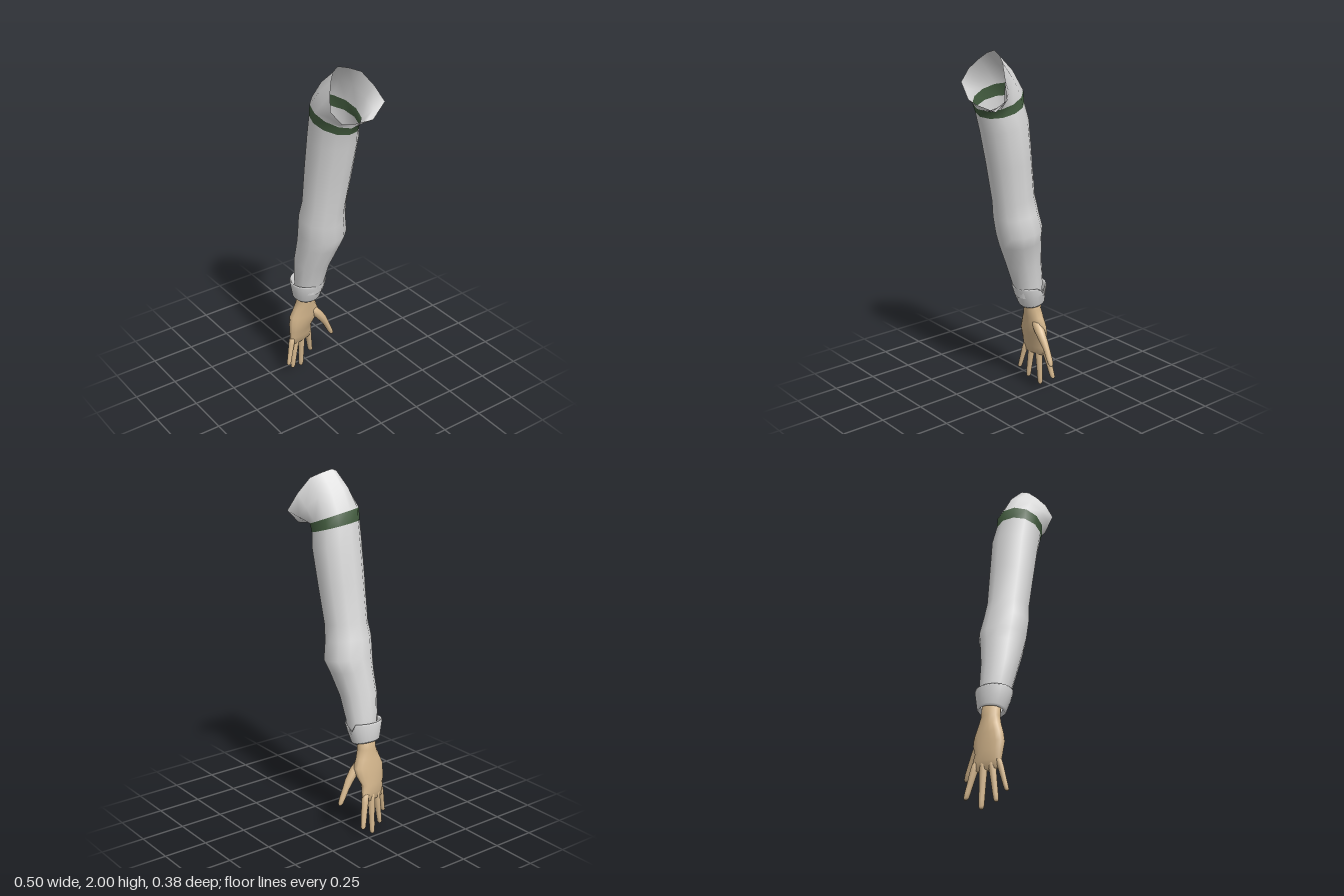
import * as THREE from 'three';

const flat = (name, color, side = THREE.FrontSide) => {
  const m = new THREE.MeshStandardMaterial({ color, side });
  m.name = name;
  return m;
};

// Elliptical cross-section; tiltX / tiltZ raise or lower it across its width, skew turns it in plan
function ring([x, y, z, rx, rz, tiltX = 0, tiltZ = 0, skew = 0], n) {
  return Array.from({ length: n }, (_, i) => {
    const a = (i / n) * Math.PI * 2, c = Math.cos(a), s = Math.sin(a);
    return new THREE.Vector3(x + rx * c + skew * rz * s, y + tiltX * c + tiltZ * s, z + rz * s);
  });
}

// Skin joining closed cross-sections from bottom to top; slots gives a material index per band
function loft(rings, { capStart = false, capEnd = false, slots = null } = {}) {
  const n = rings[0].length, pts = rings.flat(), index = [];
  const geo = new THREE.BufferGeometry();
  for (let j = 0; j < rings.length - 1; j++) {
    if (slots) geo.addGroup(index.length, n * 6, slots[j]);
    for (let i = 0; i < n; i++) {
      const k = (i + 1) % n, a = j * n + i, c = j * n + k;
      index.push(a, a + n, c, a + n, c + n, c);
    }
  }
  const cap = (j, flip) => {
    const mid = new THREE.Vector3();
    rings[j].forEach(p => mid.addScaledVector(p, 1 / n));
    const m = pts.push(mid) - 1;
    for (let i = 0; i < n; i++) {
      const a = j * n + i, b = j * n + (i + 1) % n;
      index.push(m, flip ? b : a, flip ? a : b);
    }
  };
  if (capStart) cap(0, false);
  if (capEnd) cap(rings.length - 1, true);
  geo.setFromPoints(pts);
  geo.setIndex(index);
  geo.computeVertexNormals();
  return geo;
}

export function createModel() {
  const group = new THREE.Group();
  group.name = 'arm';
  const cloth = flat('white cloth', 0xdcdcdc, THREE.DoubleSide);
  const green = flat('green band', 0x435c3f, THREE.DoubleSide);
  const skin = flat('skin', 0xd6b88e);
  const add = (name, geo, mat) => {
    const mesh = new THREE.Mesh(geo, mat);
    mesh.name = name;
    group.add(mesh);
  };

  // Sleeve: forearm, elbow, upper arm, green band and slanted shoulder cap
  const N = 12;
  const sleeve = [
    [-0.122, 0.60, 0.055, 0.075, 0.082, -0.015],
    [-0.117, 0.66, 0.053, 0.083, 0.088, -0.016],
    [-0.085, 0.80, 0.053, 0.098, 0.104, -0.02],
    [-0.047, 0.93, 0.036, 0.118, 0.120, -0.02],
    [-0.030, 1.00, 0.025, 0.125, 0.137, -0.02],
    [-0.014, 1.10, 0.037, 0.122, 0.129, -0.02],
    [0.002, 1.19, 0.035, 0.116, 0.119, -0.02],
    [0.036, 1.40, 0.030, 0.121, 0.130, -0.02],
    [0.070, 1.60, 0.026, 0.131, 0.135, -0.025],
    [0.093, 1.70, 0.035, 0.130, 0.128, -0.035, 0.015],
    [0.105, 1.755, 0.035, 0.135, 0.130, -0.047, 0.02],
  ].map(r => ring(r, N));
  // Shoulder opening, counted from +x towards +z
  const rim = [
    [0.245, 1.73, 0.03], [0.25, 1.75, 0.10], [0.245, 1.83, 0.165], [0.21, 1.90, 0.145],
    [0.17, 1.95, 0.11], [0.14, 1.985, 0.075], [0.125, 2.0, 0.035], [0.14, 1.985, -0.02],
    [0.165, 1.96, -0.08], [0.195, 1.88, -0.14], [0.22, 1.79, -0.19], [0.23, 1.715, -0.11],
  ].map(p => new THREE.Vector3(...p));
  const bandTop = sleeve[sleeve.length - 1];
  const capMiddle = rim.map((p, i) => {
    const bulge = Math.max(0, -Math.cos((i / N) * Math.PI * 2)) * 0.012;
    return p.clone().lerp(bandTop[i], 0.5).add(new THREE.Vector3(-bulge, bulge, 0));
  });
  sleeve.push(capMiddle, rim);
  const slots = sleeve.slice(1).map((_, j) => (j === 9 ? 1 : 0));
  add('sleeve', loft(sleeve, { slots }), [cloth, green]);

  // Rolled cuff with a small notch at the back
  const M = 24, notchAt = 17;
  const cuff = [
    [-0.145, 0.555, 0.057, 0.050, 0.060, -0.015],
    [-0.146, 0.534, 0.057, 0.060, 0.073, -0.015],
    [-0.145, 0.545, 0.057, 0.070, 0.083, -0.015],
    [-0.134, 0.600, 0.057, 0.083, 0.098, -0.012],
    [-0.128, 0.645, 0.057, 0.092, 0.108, -0.008],
    [-0.127, 0.656, 0.057, 0.089, 0.105, -0.008],
    [-0.126, 0.645, 0.057, 0.084, 0.098, -0.008],
    [-0.124, 0.600, 0.057, 0.076, 0.086, -0.012],
  ].map(r => ring(r, M));
  cuff.slice(4, 7).forEach(r => {
    r[notchAt].y -= 0.045;
    r[notchAt + 1].y -= 0.015;
  });
  add('cuff', loft(cuff), cloth);

  // Palm and wrist
  const palm = [
    [-0.193, 0.205, 0.068, 0.018, 0.080, 0, 0, 0.2],
    [-0.190, 0.250, 0.070, 0.028, 0.084, 0, 0, 0.2],
    [-0.182, 0.300, 0.076, 0.037, 0.081, 0, 0, 0.15],
    [-0.173, 0.350, 0.066, 0.043, 0.095, 0, 0, 0.1],
    [-0.167, 0.400, 0.058, 0.045, 0.096],
    [-0.161, 0.450, 0.058, 0.045, 0.073],
    [-0.153, 0.500, 0.058, 0.045, 0.056],
    [-0.146, 0.580, 0.058, 0.046, 0.052],
  ].map(r => ring(r, 16));
  add('palm', loft(palm, { capStart: true, capEnd: true }), skin);

  // Fingers: root and tip positions with root radius
  const fingers = {
    indexFinger: [[-0.207, 0.25, 0.010], [-0.238, 0.062, -0.030], 0.021],
    middleFinger: [[-0.199, 0.25, 0.056], [-0.214, 0.002, 0.055], 0.021],
    ringFinger: [[-0.188, 0.25, 0.100], [-0.186, 0.032, 0.131], 0.020],
    littleFinger: [[-0.176, 0.25, 0.138], [-0.158, 0.085, 0.177], 0.018],
  };
  const taper = [[1, 0.4], [0.95, 0.68], [0.82, 0.75], [0.5, 0.85], [0.2, 0.98], [0, 0.9]];
  for (const [name, [root, tip, r]] of Object.entries(fingers)) {
    const a = new THREE.Vector3(...root), b = new THREE.Vector3(...tip);
    const rings = taper.map(([t, k]) => ring([...a.clone().lerp(b, t), r * k, r * k], 10));
    add(name, loft(rings, { capStart: true, capEnd: true }), skin);
  }

  // Thumb, spreading to the back
  const thumb = [
    [-0.146, 0.197, -0.120, 0.008, 0.008],
    [-0.146, 0.208, -0.116, 0.015, 0.014],
    [-0.146, 0.235, -0.104, 0.018, 0.017],
    [-0.146, 0.285, -0.080, 0.019, 0.020],
    [-0.144, 0.335, -0.050, 0.024, 0.029],
    [-0.145, 0.385, -0.014, 0.028, 0.035],
    [-0.150, 0.430, 0.020, 0.025, 0.030],
  ].map(r => ring(r, 10));
  add('thumb', loft(thumb, { capStart: true, capEnd: true }), skin);

  return group;
}
